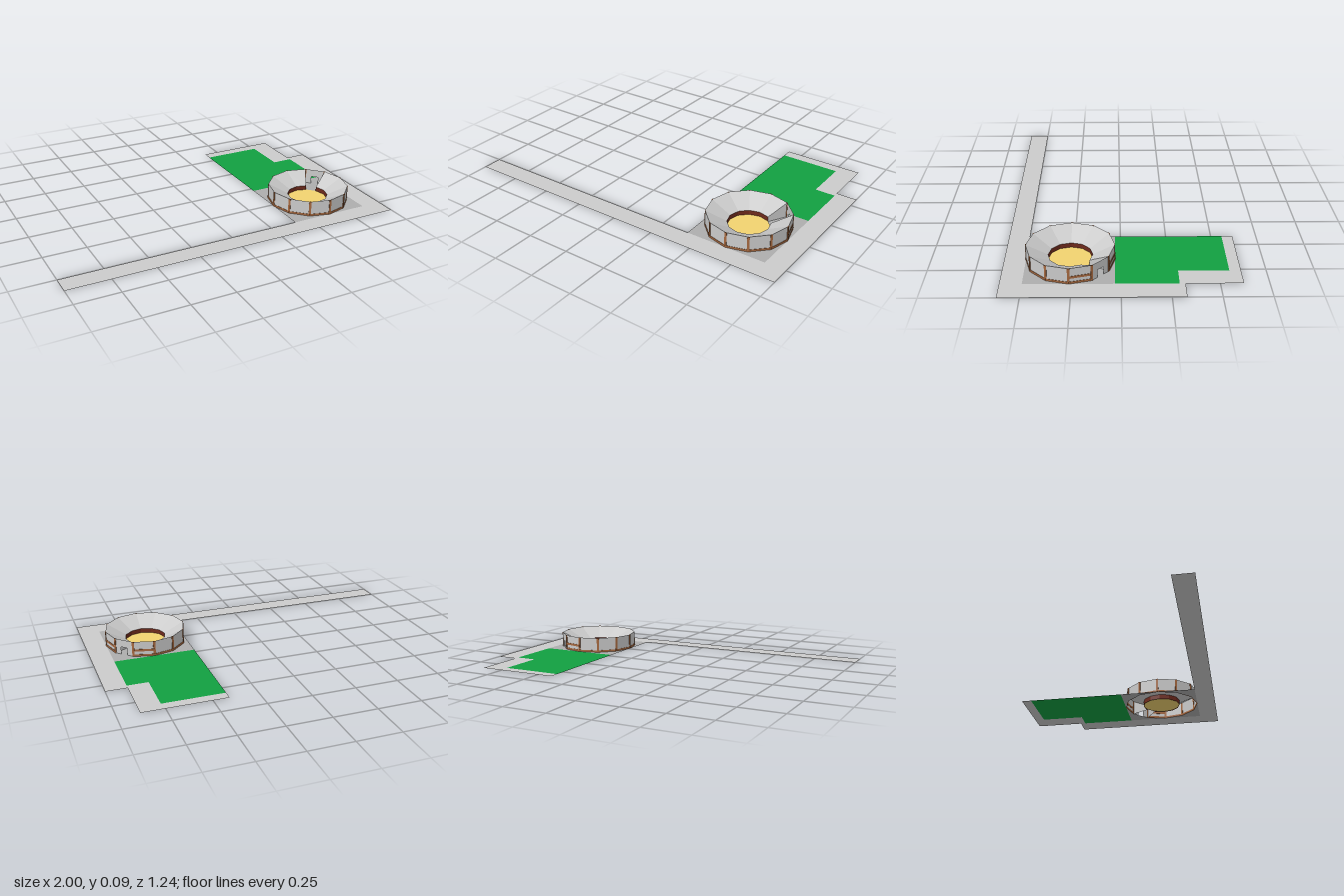
import * as THREE from 'three';

const SIDES = 12, STEP = Math.PI * 2 / SIDES;
const R_OUT = 0.235, R_IN = 0.118, H = 0.09, H_IN = 0.03;
const APOTHEM = R_OUT * Math.cos(STEP / 2);
const PANEL = 2 * R_OUT * Math.sin(STEP / 2);
const GATE = 4; // index of the open segment, counted from +z towards +x

const material = (color, side = THREE.DoubleSide) =>
  new THREE.MeshStandardMaterial({ color, side, flatShading: true });
const grey = material(0xcccccc), paving = material(0xaeaeae), grass = material(0x12a041);
const sand = material(0xf2d370), timber = material(0xa5683f), red = material(0x6e2a1c);

const shapeOf = (points) => new THREE.Shape(points.map(([x, y]) => new THREE.Vector2(x, y)));

function add(parent, name, geometry, mat) {
  const mesh = new THREE.Mesh(geometry, mat);
  mesh.name = name;
  parent.add(mesh);
  return mesh;
}

// Flat ground piece from an outline in (x, z)
function ground(parent, name, points, mat, hole) {
  const shape = shapeOf(points.map(([x, z]) => [x, -z]));
  if (hole) shape.holes.push(new THREE.Path(hole.map(([x, z]) => new THREE.Vector2(x, -z))));
  return add(parent, name, new THREE.ShapeGeometry(shape).rotateX(-Math.PI / 2), mat);
}

// Open ring of facets, leaving out the gate segment
const ringBand = (rTop, rBottom, height) =>
  new THREE.CylinderGeometry(rTop, rBottom, height, SIDES - 1, 1, true,
    (GATE + 1) * STEP, (SIDES - 1) * STEP).translate(0, height / 2, 0);

export function createModel() {
  const model = new THREE.Group();
  const cx = 0.645, cz = 0.265;

  // Streets, lawn and paved square
  ground(model, 'street', [[-1, 0.5], [0.88, 0.5], [0.88, -0.295], [0.76, -0.295], [0.76, -0.56],
    [0.41, -0.56], [0.41, -0.62], [0.88, -0.62], [0.88, -0.325], [1, -0.325], [1, 0.615], [-1, 0.615]], grey);
  ground(model, 'lawn', [[0.41, -0.56], [0.76, -0.56], [0.76, -0.295], [0.88, -0.295],
    [0.88, 0.03], [0.41, 0.03]], grass);
  const rim = Array.from({ length: SIDES }, (_, i) =>
    [cx + 0.2345 * Math.sin(i * STEP), cz + 0.2345 * Math.cos(i * STEP)]);
  ground(model, 'square', [[0.41, 0.03], [0.88, 0.03], [0.88, 0.5], [0.41, 0.5]], paving, rim);

  const ring = new THREE.Group();
  ring.name = 'bullring';
  ring.position.set(cx, 0, cz);
  model.add(ring);

  // Arena floor and the barrier around it
  add(ring, 'arenaFloor', new THREE.CircleGeometry(R_IN, SIDES).rotateX(-Math.PI / 2), sand).position.y = 0.004;
  add(ring, 'barrier', ringBand(R_IN, R_IN, H_IN), red);

  // Sloping stands and outer wall
  add(ring, 'stands', ringBand(R_OUT, R_IN, H - H_IN), grey).position.y = H_IN;
  add(ring, 'outerWall', ringBand(R_OUT, R_OUT, H), grey);

  // End walls of the stands beside the gate passage
  for (const i of [GATE, GATE + 1]) {
    const end = add(ring, 'standEnd', new THREE.ShapeGeometry(
      shapeOf([[R_IN, 0], [R_OUT, 0], [R_OUT, H], [R_IN, H_IN]])), grey);
    end.rotation.y = i * STEP - Math.PI / 2;
  }

  // Passage floor, visible only from above
  const a = GATE * STEP, b = a + STEP;
  const at = (r, t) => [r * Math.sin(t), r * Math.cos(t)];
  ground(ring, 'passageFloor', [at(R_IN, a), at(R_OUT, a), at(R_OUT, b), at(R_IN, b)],
    material(0xaeaeae, THREE.FrontSide));

  // Gate wall with a doorway
  const w = PANEL / 2, d = 0.021, doorH = 0.045;
  const gate = add(ring, 'gateWall', new THREE.ShapeGeometry(shapeOf([[-w, 0], [-d, 0], [-d, doorH],
    [d, doorH], [d, 0], [w, 0], [w, H], [-w, H]])), grey);
  const mid = (GATE + 0.5) * STEP;
  gate.position.set(APOTHEM * Math.sin(mid), 0, APOTHEM * Math.cos(mid));
  gate.rotation.y = mid;

  // Timber posts at the corners and rails along the panels
  const beam = (name, radius, angle, y, width, height) => {
    const mesh = add(ring, name, new THREE.BoxGeometry(width, height, 0.004), timber);
    mesh.position.set(radius * Math.sin(angle), y, radius * Math.cos(angle));
    mesh.rotation.y = angle;
  };
  for (let i = 0; i < SIDES; i++) {
    beam('post', R_OUT - 0.001, i * STEP, H / 2, 0.013, H);
    if (i === GATE) continue;
    const angle = (i + 0.5) * STEP;
    beam('bottomRail', APOTHEM, angle, 0.006, PANEL, 0.012);
    if (Math.abs(i - GATE) === 1) beam('middleRail', APOTHEM, angle, 0.037, PANEL, 0.013);
  }
  return model;
}
